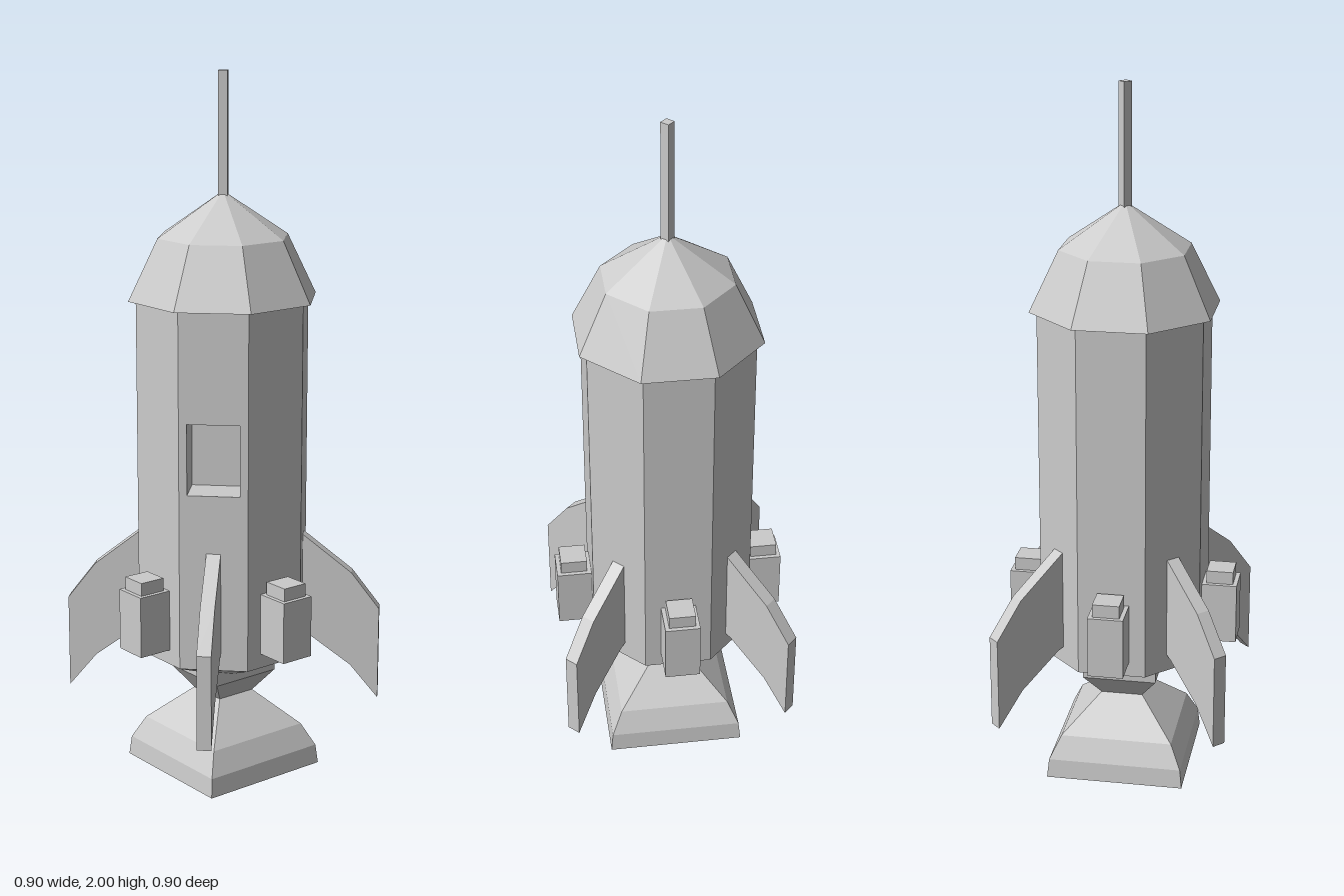
import * as THREE from 'three';

const grey = new THREE.MeshStandardMaterial({ color: 0xcccccc, flatShading: true });
const OCT = Math.cos(Math.PI / 8); // ratio of flat distance to corner distance

function add(parent, name, geometry) {
  const mesh = new THREE.Mesh(geometry, grey);
  mesh.name = name;
  parent.add(mesh);
  return mesh;
}

// Eight-sided part with flats on the axes; profile is [flat distance, y], bottom to top
function octagonal(profile) {
  const points = profile.map(([r, y]) => new THREE.Vector2(r / OCT, y));
  return new THREE.LatheGeometry(points, 8, Math.PI / 8);
}

// Four-sided part with corners on the axes
function square(profile) {
  return new THREE.LatheGeometry(profile.map(([r, y]) => new THREE.Vector2(r, y)), 4);
}

function shapeOf(points) {
  return new THREE.Shape(points.map(([x, y]) => new THREE.Vector2(x, y)));
}

export function createModel() {
  const rocket = new THREE.Group();
  rocket.name = 'rocket';

  // Hull: plain sections below and above the window band
  const R = 0.23, h = R * Math.tan(Math.PI / 8);
  const sill = 0.87, lintel = 1.07;
  add(rocket, 'lowerHull', octagonal([[0, 0.31], [0.11, 0.31], [R, 0.365], [R, sill], [0, sill]]));
  add(rocket, 'upperHull', octagonal([[0, lintel], [R, lintel], [R, 1.38], [0, 1.38]]));

  // Window band: octagon with a notch cut into its front side
  const w = 0.073, back = -0.12;
  const band = new THREE.ExtrudeGeometry(shapeOf([
    [-h, -R], [-w, -R], [-w, back], [w, back], [w, -R], [h, -R],
    [R, -h], [R, h], [h, R], [-h, R], [-R, h], [-R, -h],
  ]), { depth: lintel - sill, bevelEnabled: false });
  band.rotateX(-Math.PI / 2);
  add(rocket, 'windowBand', band).position.y = sill;

  // Nose and antenna
  add(rocket, 'noseCone', octagonal([[0, 1.38], [0.25, 1.38], [0.1725, 1.55], [0, 1.675]]));
  add(rocket, 'antenna', new THREE.BoxGeometry(0.026, 0.36, 0.026)).position.y = 1.82;

  // Engine: square neck and a bell with a recessed mouth
  add(rocket, 'engineNeck', square([[0, 0.21], [0.085, 0.22], [0.15, 0.285], [0.15, 0.345], [0, 0.345]]));
  add(rocket, 'engineBell', square([
    [0, 0.06], [0.235, 0.06], [0.268, 0], [0.28, 0],
    [0.272, 0.055], [0.228, 0.12], [0.085, 0.22], [0, 0.22],
  ]));

  // Four swept fins on the axes
  const finGeometry = new THREE.ExtrudeGeometry(shapeOf([
    [0.2, 0.43], [0.25, 0.405], [0.37, 0.317], [0.45, 0.22],
    [0.45, 0.49], [0.37, 0.595], [0.23, 0.705], [0.2, 0.705],
  ]), { depth: 0.04, bevelEnabled: false });
  finGeometry.translate(0, 0, -0.02);

  // Four booster pods on the diagonals
  const podGeometry = new THREE.BoxGeometry(0.1, 0.175, 0.1);
  const capGeometry = new THREE.BoxGeometry(0.076, 0.037, 0.076);
  const podDistance = 0.198 * Math.SQRT2;

  for (let i = 0; i < 4; i++) {
    add(rocket, 'fin', finGeometry).rotation.y = i * Math.PI / 2;

    const pod = new THREE.Group();
    pod.name = 'boosterPod';
    add(pod, 'podBody', podGeometry).position.set(podDistance, 0.495, 0);
    add(pod, 'podCap', capGeometry).position.set(podDistance, 0.601, 0);
    pod.rotation.y = (i + 0.5) * Math.PI / 2;
    rocket.add(pod);
  }
  return rocket;
}
